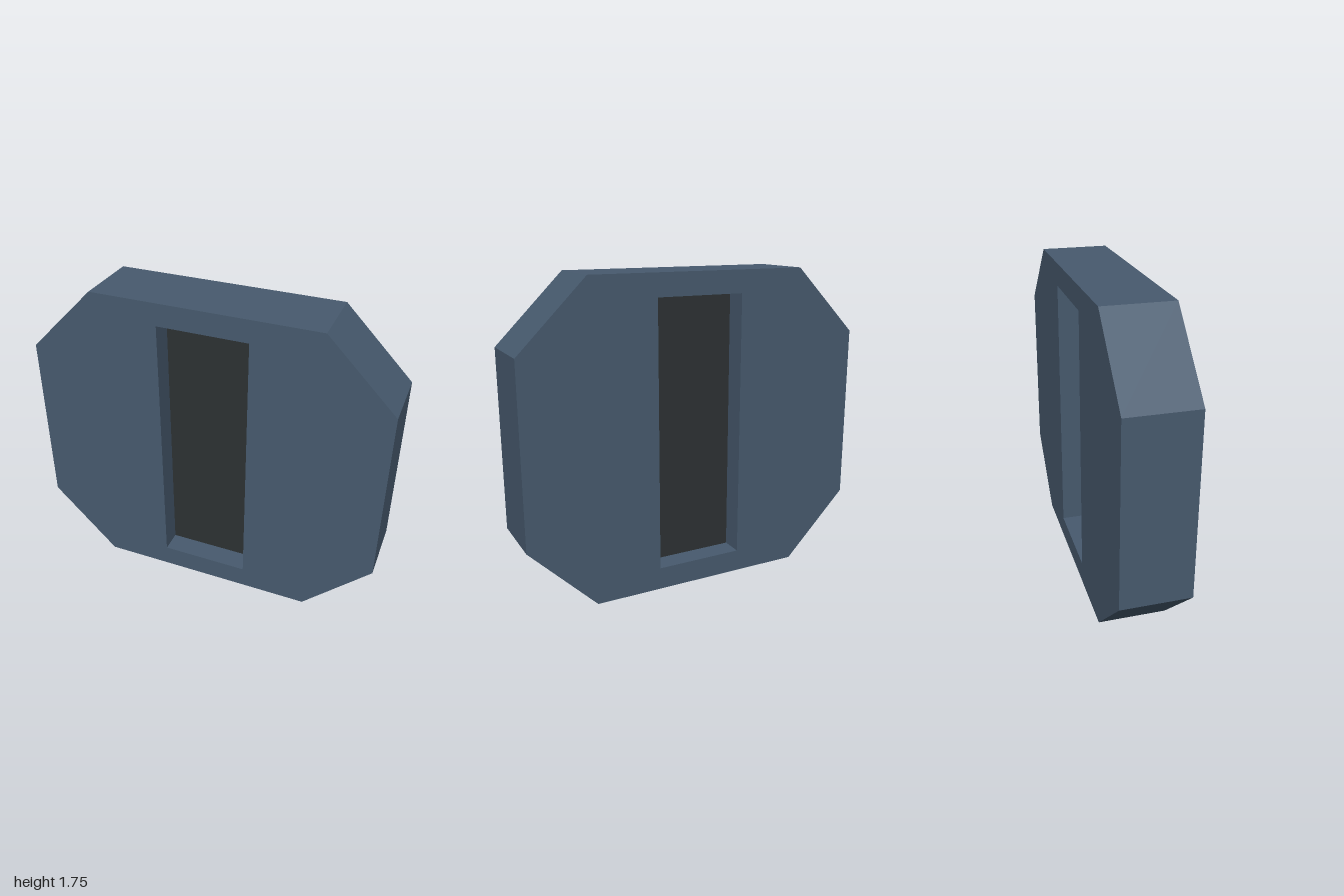
import * as THREE from 'three';

const DEPTH = 0.375, PANEL_DEPTH = 0.125;
const SLOT = { halfWidth: 0.25, bottom: 0.125, top: 1.625 };

export function createModel() {
  const group = new THREE.Group();
  group.name = 'octagonalBlock';

  // Octagonal block with a rectangular slot through it
  const outline = new THREE.Shape([
    [-0.625, 0], [0.625, 0], [1, 0.375], [1, 1.375],
    [0.625, 1.75], [-0.625, 1.75], [-1, 1.375], [-1, 0.375],
  ].map(([x, y]) => new THREE.Vector2(x, y)));
  const { halfWidth: w, bottom, top } = SLOT;
  outline.holes.push(new THREE.Path([
    [-w, bottom], [-w, top], [w, top], [w, bottom],
  ].map(([x, y]) => new THREE.Vector2(x, y))));
  const bodyGeometry = new THREE.ExtrudeGeometry(outline, { depth: DEPTH, bevelEnabled: false });
  bodyGeometry.translate(0, 0, -DEPTH / 2);
  const body = new THREE.Mesh(bodyGeometry,
    new THREE.MeshStandardMaterial({ color: 0x475a6e, flatShading: true }));
  body.name = 'body';

  // Dark panel closing the slot, recessed equally on both faces
  const panel = new THREE.Mesh(
    new THREE.BoxGeometry(2 * w, top - bottom, PANEL_DEPTH),
    new THREE.MeshStandardMaterial({ color: 0x2d3133, flatShading: true }));
  panel.name = 'slotPanel';
  panel.position.y = (top + bottom) / 2;

  group.add(body, panel);
  return group;
}
